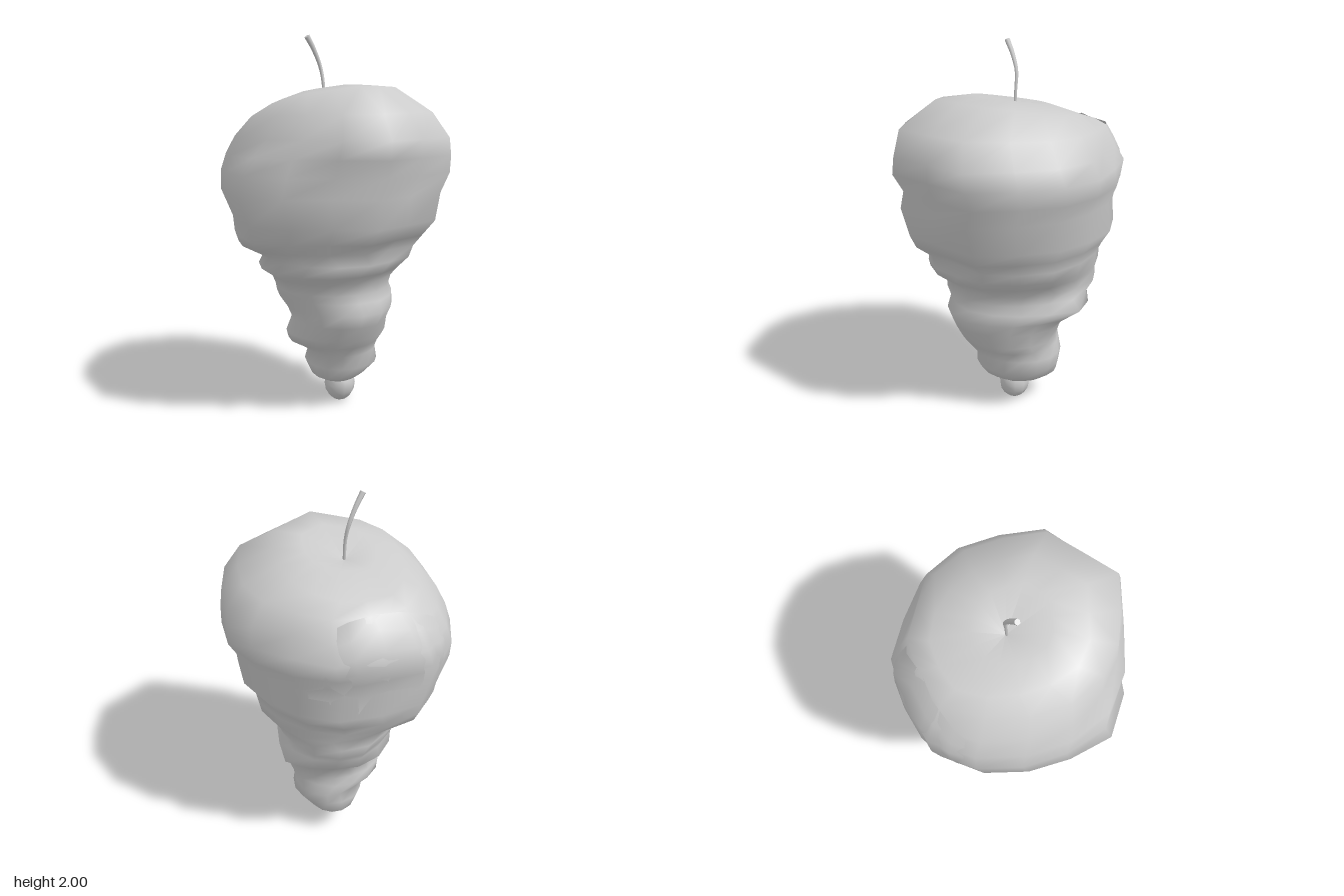
import * as THREE from 'three';

const material = new THREE.MeshStandardMaterial({ color: 0xcccccc, side: THREE.DoubleSide });

// Body cross-sections: height, then x min, x max, z min, z max
const sections = [
  [0.14, -0.07, 0.14, -0.20, 0.10],
  [0.17, -0.12, 0.18, -0.25, 0.16],
  [0.24, -0.15, 0.25, -0.26, 0.20],
  [0.31, -0.13, 0.24, -0.27, 0.20],
  [0.37, -0.24, 0.26, -0.26, 0.26],
  [0.42, -0.25, 0.29, -0.25, 0.29],
  [0.50, -0.22, 0.30, -0.27, 0.33],
  [0.57, -0.25, 0.33, -0.33, 0.36],
  [0.63, -0.30, 0.33, -0.41, 0.34],
  [0.68, -0.31, 0.31, -0.41, 0.36],
  [0.74, -0.34, 0.33, -0.46, 0.36],
  [0.79, -0.40, 0.36, -0.46, 0.45],
  [0.85, -0.37, 0.43, -0.47, 0.46],
  [0.91, -0.51, 0.45, -0.48, 0.46],
  [0.97, -0.53, 0.47, -0.51, 0.52],
  [1.05, -0.54, 0.53, -0.55, 0.54],
  [1.20, -0.60, 0.55, -0.54, 0.58],
  [1.30, -0.60, 0.60, -0.58, 0.56],
  [1.39, -0.57, 0.60, -0.60, 0.61],
  [1.48, -0.52, 0.59, -0.55, 0.60],
  [1.59, -0.43, 0.50, -0.49, 0.57],
  [1.67, -0.34, 0.32, -0.38, 0.39],
  [1.71, -0.20, 0.17, -0.19, 0.21],
];

// Uneven outline of the wide upper part, every 22.5 degrees from left to front
const outline = [0.99, 1.08, 1.0, 1.08, 0.96, 1.02, 1.07, 1.0,
  0.99, 1.03, 1.07, 1.0, 1.0, 0.98, 0.96, 0.98];

// Local hollows (positive depth) and bulges: angle, angular width, height, vertical width, depth
const dents = [
  [2.2, 0.35, 1.5, 0.12, 0.1],
  [2.2, 0.35, 1.13, 0.13, -0.03],
  [-1.3, 0.22, 1.47, 0.12, 0.08],
  [-2.36, 0.45, 0.58, 0.06, -0.06],
  [-2.36, 0.45, 0.79, 0.06, 0.04],
  [-0.8, 0.35, 0.63, 0.06, -0.06],
  [0.8, 0.45, 0.9, 0.08, 0.03],
];

function outlineAt(angle) {
  const n = outline.length, s = (angle / (Math.PI * 2) + 1) * n, i = Math.floor(s);
  return THREE.MathUtils.lerp(outline[i % n], outline[(i + 1) % n], s - i);
}

function dentAt(angle, y) {
  return dents.reduce((sum, [a, wide, h, high, depth]) => {
    const d = Math.atan2(Math.sin(angle - a), Math.cos(angle - a));
    return sum + depth * Math.exp(-((d / wide) ** 2) - ((y - h) / high) ** 2);
  }, 0);
}

// Point on the body at a (fractional) section index and angle
function bodyPoint(row, angle) {
  const i = Math.min(Math.floor(row), sections.length - 2);
  const [y, x0, x1, z0, z1] = sections[i].map((a, k) => THREE.MathUtils.lerp(a, sections[i + 1][k], row - i));
  // shallow spiral folds below, lobed outline above
  const fold = 1 + 0.04 * Math.sin(2 * angle) ** 2 * Math.sin(3 * angle + 9 * y);
  const f = THREE.MathUtils.lerp(fold, outlineAt(angle), THREE.MathUtils.smoothstep(y, 0.8, 1.0));
  const dent = dentAt(angle, y);
  const x = (x0 + x1) / 2 + ((x1 - x0) / 2 * f - dent) * Math.cos(angle);
  const z = (z0 + z1) / 2 + ((z1 - z0) / 2 * f - dent) * Math.sin(angle);
  // the crown leans: higher at the front and left
  const lean = THREE.MathUtils.smoothstep(y, 1.56, 1.67);
  return new THREE.Vector3(x, y + lean * (0.13 * x + 0.13 * z), z);
}

// Smooth skin over a grid of points; rows go up, columns go round
function skin(name, rows, closed) {
  const n = rows[0].length, index = [];
  for (let r = 0; r < rows.length - 1; r++) {
    for (let c = 0; c < (closed ? n : n - 1); c++) {
      const a = r * n + c, b = r * n + (c + 1) % n;
      index.push(a, a + n, b, b, a + n, b + n);
    }
  }
  const geometry = new THREE.BufferGeometry().setFromPoints(rows.flat());
  geometry.setIndex(index);
  geometry.computeVertexNormals();
  const mesh = new THREE.Mesh(geometry, material);
  mesh.name = name;
  return mesh;
}

// Thin overlapping petal that stands off the body at its arched upper edge
function petal(name, start, end, low, high, flare) {
  const rows = [];
  for (let r = 0; r <= 6; r++) {
    const v = r / 6, row = [];
    for (let c = 0; c <= 6; c++) {
      const u = c / 6, arch = Math.sin(Math.PI * u);
      const p = bodyPoint(low + (high - low) * v * (0.6 + 0.4 * arch), start + (end - start) * u);
      const s = 0.98 + flare * v * arch;
      row.push(new THREE.Vector3(p.x * s, p.y, p.z * s));
    }
    rows.push(row);
  }
  return skin(name, rows, false);
}

export function createModel() {
  const group = new THREE.Group();

  // Body, closed underneath and dipping to the stem on top
  const sides = 16;
  const ring = (f) => Array.from({ length: sides }, (_, c) => f(c / sides * Math.PI * 2));
  const rows = sections.map((_, r) => ring((a) => bodyPoint(r, a)));
  rows.unshift(ring(() => new THREE.Vector3(0.04, 0.13, -0.03)));
  rows.push(ring(() => new THREE.Vector3(-0.04, 1.655, -0.02)));
  group.add(skin('body', rows, true));

  // Overlapping petal at the back
  group.add(petal('backPetal', -2.8, -1.2, 15, 20.3, 0.055));

  // Round tip at the bottom
  const tip = new THREE.Mesh(new THREE.SphereGeometry(0.085, 10, 8), material);
  tip.name = 'tip';
  tip.scale.y = 1.15;
  tip.position.set(0.045, 0.098, -0.01);
  group.add(tip);

  // Curved stem, thicker towards its cut end
  const curve = new THREE.CatmullRomCurve3([
    [-0.04, 1.64, -0.015], [-0.045, 1.76, -0.02], [-0.06, 1.84, -0.025],
    [-0.095, 1.93, -0.005], [-0.13, 1.995, 0.02],
  ].map((p) => new THREE.Vector3(...p)));
  const segments = 12, radial = 6;
  const stemGeometry = new THREE.TubeGeometry(curve, segments, 0.01, radial);
  const pos = stemGeometry.attributes.position, v = new THREE.Vector3();
  for (let i = 0; i < pos.count; i++) {
    const t = Math.floor(i / (radial + 1)) / segments, centre = curve.getPointAt(t);
    v.fromBufferAttribute(pos, i).sub(centre).multiplyScalar(0.8 + 0.7 * t * t).add(centre);
    pos.setXYZ(i, v.x, v.y, v.z);
  }
  const stem = new THREE.Mesh(stemGeometry, material);
  stem.name = 'stem';
  const end = new THREE.Mesh(new THREE.CircleGeometry(0.015, radial), material);
  end.name = 'stemEnd';
  end.position.copy(curve.getPointAt(1));
  end.lookAt(curve.getPointAt(1).add(curve.getTangentAt(1)));
  group.add(stem, end);

  return group;
}
